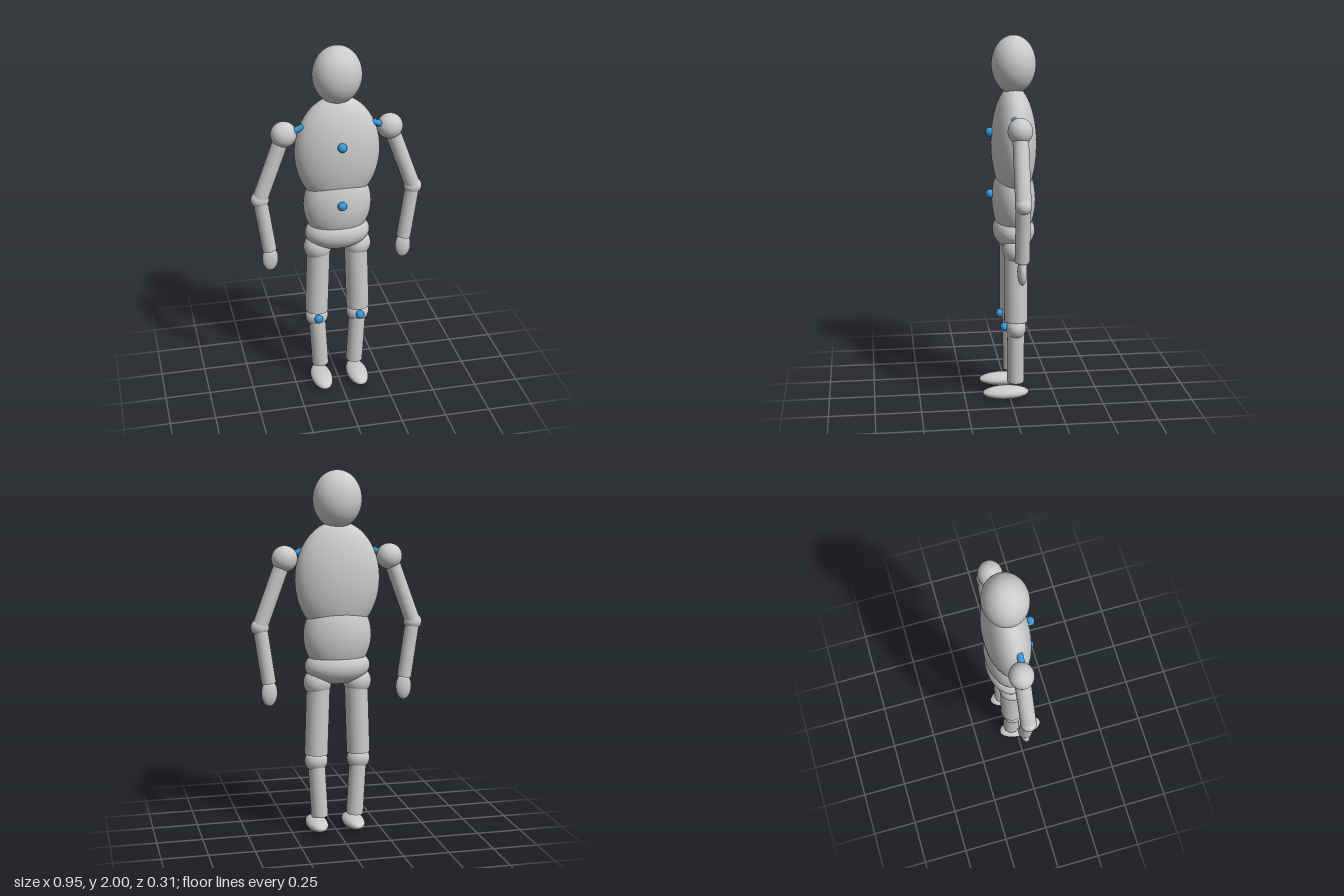
import * as THREE from 'three';

const Z = -0.03; // depth of the body's centre line
const grey = new THREE.MeshStandardMaterial({ color: 0xcccccc });
const blue = new THREE.MeshStandardMaterial({ color: 0x3498db });
const ball = new THREE.SphereGeometry(1, 48, 32);

// Ellipsoid with centre [x, y, z] and radii [x, y, z]
function ellipsoid(name, centre, radii, material = grey) {
  const mesh = new THREE.Mesh(ball, material);
  mesh.name = name;
  mesh.position.set(...centre);
  mesh.scale.set(...radii);
  return mesh;
}

// Capped cylinder running between two points
function limb(name, from, to, radius, material = grey) {
  const a = new THREE.Vector3(...from);
  const b = new THREE.Vector3(...to);
  const mesh = new THREE.Mesh(new THREE.CylinderGeometry(radius, radius, a.distanceTo(b), 40), material);
  mesh.name = name;
  mesh.position.copy(a).add(b).multiplyScalar(0.5);
  mesh.quaternion.setFromUnitVectors(new THREE.Vector3(0, 1, 0), a.sub(b).normalize());
  return mesh;
}

function buildArm(side, s) {
  const arm = new THREE.Group();
  arm.name = side + 'Arm';
  arm.add(
    ellipsoid('shoulder', [s * 0.288, 1.535, Z], [0.07, 0.07, 0.065]),
    limb('upperArm', [s * 0.3, 1.51, Z], [s * 0.422, 1.18, Z], 0.042),
    ellipsoid('elbow', [s * 0.424, 1.172, Z], [0.05, 0.046, 0.044]),
    limb('forearm', [s * 0.422, 1.165, Z], [s * 0.379, 0.867, Z], 0.039),
    ellipsoid('hand', [s * 0.376, 0.81, Z], [0.044, 0.073, 0.025]),
    limb('shoulderMarker', [s * 0.185, 1.577, -0.013], [s * 0.24, 1.556, -0.013], 0.017, blue)
  );
  return arm;
}

function buildLeg(side, s) {
  const leg = new THREE.Group();
  leg.name = side + 'Leg';
  leg.add(
    ellipsoid('hip', [s * 0.111, 0.857, Z], [0.077, 0.077, 0.072]),
    limb('thigh', [s * 0.106, 0.84, Z], [s * 0.119, 0.456, Z], 0.064),
    ellipsoid('knee', [s * 0.119, 0.417, Z], [0.064, 0.062, 0.055]),
    limb('shin', [s * 0.117, 0.4, Z], [s * 0.1, 0.098, Z], 0.047),
    ellipsoid('foot', [s * 0.105, 0.036, 0.025], [0.06, 0.036, 0.128]),
    ellipsoid('kneeMarker', [s * 0.119, 0.424, 0.032], [0.024, 0.024, 0.024], blue)
  );
  return leg;
}

export function createModel() {
  const model = new THREE.Group();
  model.name = 'jointedFigure';

  // Head and torso
  model.add(
    ellipsoid('head', [0, 1.845, Z], [0.132, 0.155, 0.119]),
    ellipsoid('chest', [0, 1.42, Z], [0.232, 0.31, 0.122]),
    ellipsoid('abdomen', [0, 1.115, Z], [0.187, 0.22, 0.118]),
    ellipsoid('pelvis', [0, 0.945, Z], [0.18, 0.1, 0.115])
  );

  // Markers down the front of the torso
  model.add(
    ellipsoid('chestMarker', [0, 1.485, 0.098], [0.025, 0.025, 0.025], blue),
    ellipsoid('abdomenMarker', [0, 1.147, 0.098], [0.025, 0.025, 0.025], blue)
  );

  // Mirrored limbs
  for (const [side, s] of [['left', 1], ['right', -1]]) {
    model.add(buildArm(side, s), buildLeg(side, s));
  }
  return model;
}
